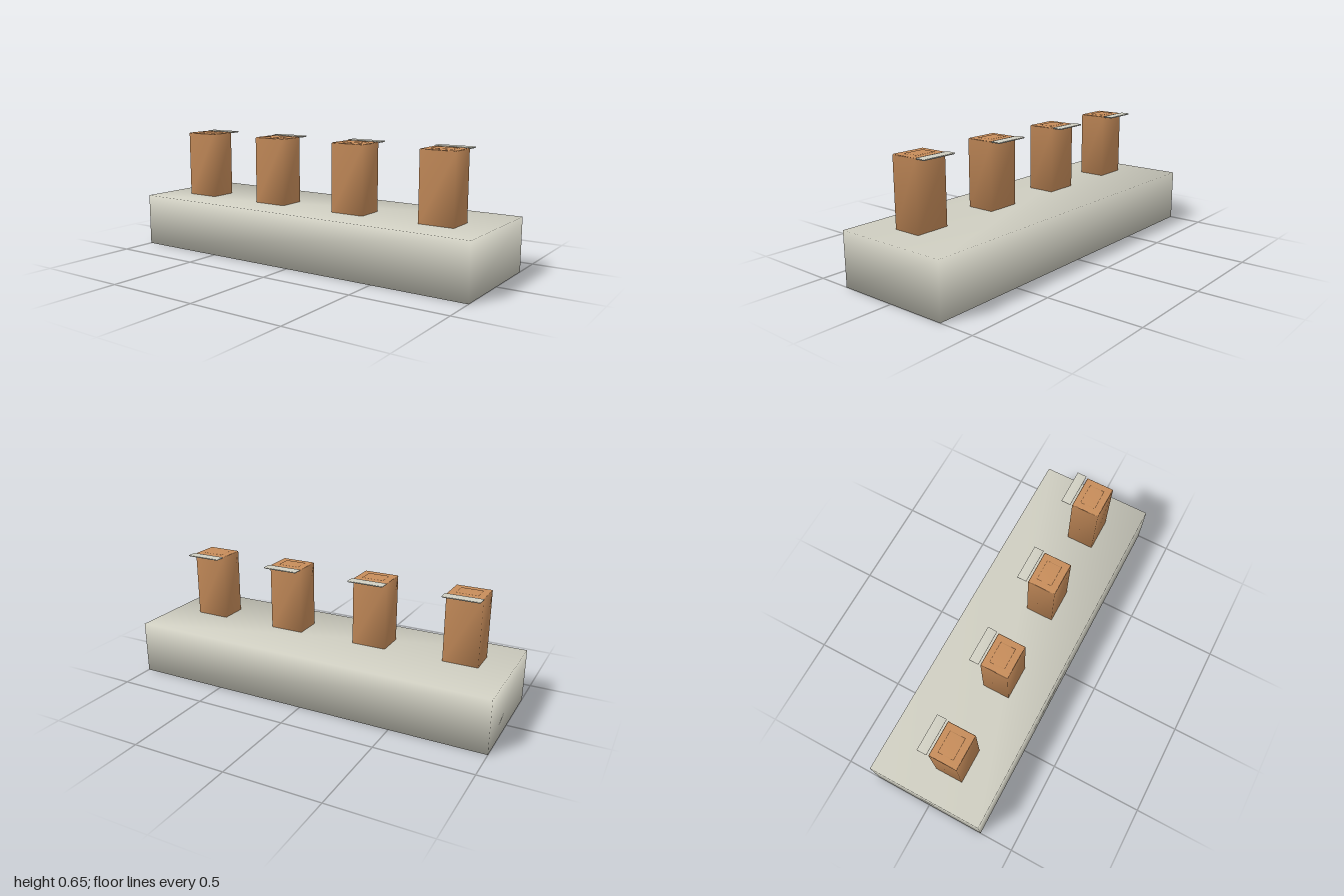
import * as THREE from 'three';
import { mergeVertices } from 'three/addons/utils/BufferGeometryUtils.js';

// Smooth-shaded block from rows [y, width, depth], listed bottom to top
function block(rows) {
  const n = rows.length - 1;
  let geo = new THREE.BoxGeometry(1, n, 1, 1, n, 1);
  const pos = geo.attributes.position;
  for (let i = 0; i < pos.count; i++) {
    const [y, w, d] = rows[Math.round(pos.getY(i) + n / 2)];
    pos.setXYZ(i, pos.getX(i) * w, y, pos.getZ(i) * d);
  }
  geo.deleteAttribute('normal');
  geo.deleteAttribute('uv');
  geo = mergeVertices(geo);
  geo.computeVertexNormals();
  return geo;
}

export function createModel() {
  const stone = new THREE.MeshStandardMaterial({ color: 0xd0cfc2 });
  stone.name = 'pale stone';
  const wood = new THREE.MeshStandardMaterial({ color: 0xc68c5a });
  wood.name = 'warm wood';

  const model = new THREE.Group();
  model.name = 'postRow';
  const add = (parent, name, geo, mat, z) => {
    const mesh = new THREE.Mesh(geo, mat);
    mesh.name = name;
    mesh.position.z = z;
    parent.add(mesh);
  };

  // Long base slab
  add(model, 'base', block([[0, 2, 0.63], [0.284, 2, 0.63]]), stone, 0);

  // Post with a softened top edge, low cap panel and thin floating plate
  const postGeo = block([[0.28, 0.185, 0.15], [0.639, 0.185, 0.15], [0.643, 0.179, 0.144]]);
  const capGeo = block([[0.64, 0.115, 0.08], [0.643, 0.115, 0.08], [0.6455, 0.108, 0.073]]);
  const plateGeo = block([[0.638, 0.186, 0.046], [0.641, 0.192, 0.051], [0.6455, 0.192, 0.051]]);

  [-0.748, -0.25, 0.247, 0.744].forEach((x, i) => {
    const unit = new THREE.Group();
    unit.name = `postUnit${i + 1}`;
    unit.position.x = x;
    add(unit, 'post', postGeo, wood, 0.058);
    add(unit, 'capPanel', capGeo, wood, 0.056);
    add(unit, 'plate', plateGeo, stone, -0.052);
    model.add(unit);
  });
  return model;
}
